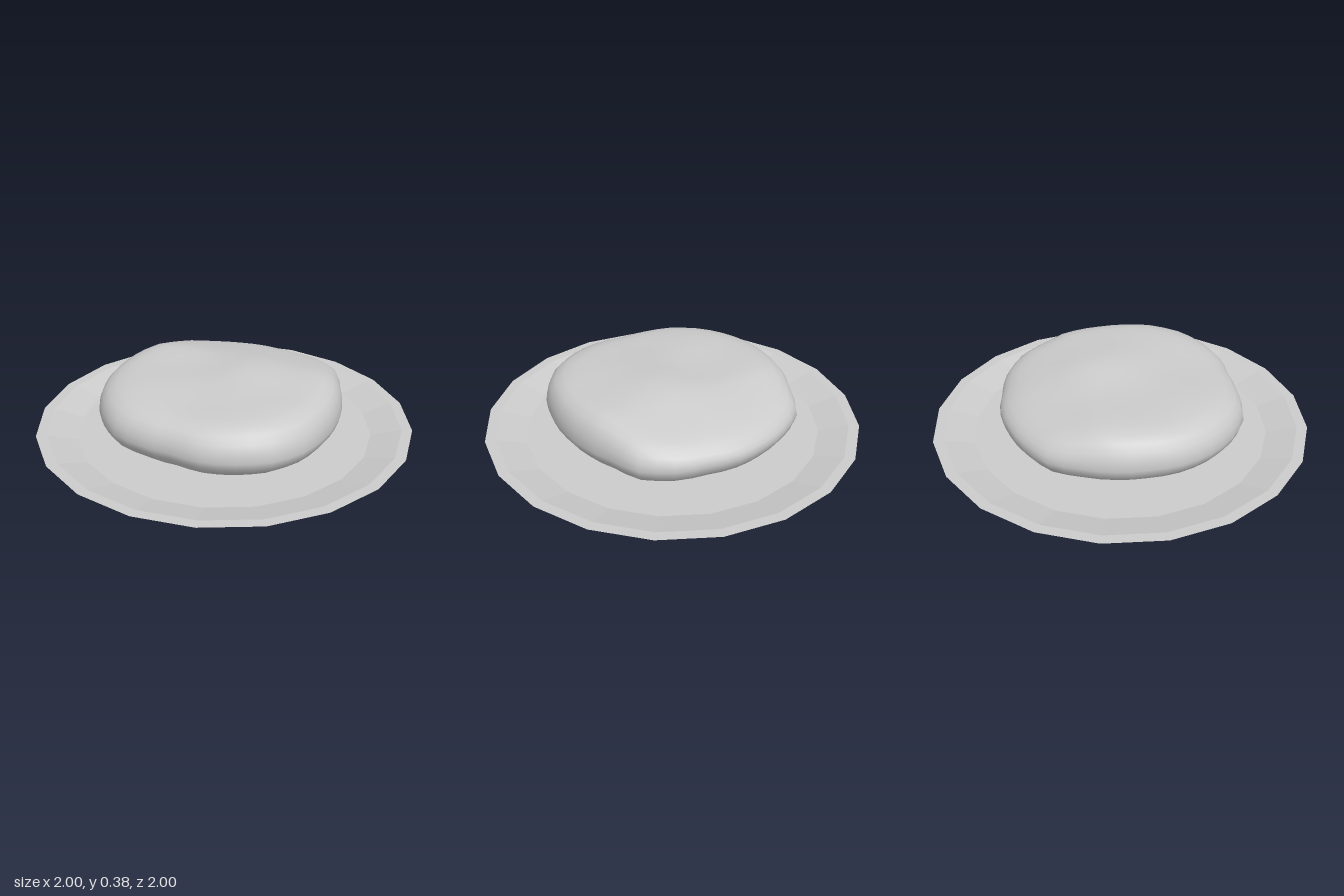
import * as THREE from 'three';
import { mergeVertices } from 'three/addons/utils/BufferGeometryUtils.js';

const points = (list) => list.map(([r, y]) => new THREE.Vector2(r, y));

// Outline radius of the bun every 15 degrees, from +x towards +z
const OUTLINE = [
  0.63, 0.645, 0.67, 0.68, 0.665, 0.65, 0.62, 0.635, 0.665, 0.665, 0.66, 0.65,
  0.635, 0.635, 0.64, 0.665, 0.65, 0.64, 0.64, 0.635, 0.66, 0.672, 0.63, 0.625,
];

function outlineRadius(angle) {
  const n = OUTLINE.length;
  const a = ((angle / (2 * Math.PI)) * n + 2 * n) % n;
  const i = Math.floor(a);
  return THREE.MathUtils.lerp(OUTLINE[i % n], OUTLINE[(i + 1) % n], a - i);
}

// Height of the lumpy top: off-centre peak, falling away to the back
function topHeight(x, z) {
  const peak = 0.023 * Math.exp(-((x - 0.11) ** 2 + (z + 0.1) ** 2) / 0.04);
  const fall = 0.19 * Math.max(0, -z - 0.22) + 0.06 * Math.max(0, z - 0.2);
  const ripple = 0.005 * Math.sin(9 * x + 4 * z) * Math.cos(8 * z - 2 * x);
  return 0.354 + 0.015 * x + peak - fall + ripple;
}

function createBun(material) {
  const waist = 0.19;
  // Radius as a fraction of the outline; above the waist, y is a fraction of the top height
  const lower = [[0, 0.03], [0.4, 0.03], [0.7, 0.035], [0.8, 0.05], [0.87, 0.08], [0.94, 0.115], [0.985, 0.155], [1, waist]];
  const upper = [[0.99, 0.3], [0.965, 0.56], [0.92, 0.78], [0.85, 0.92], [0.76, 0.98], [0.64, 1], [0.5, 1], [0.37, 1], [0.24, 1], [0.12, 1], [0, 1]];
  const profile = points([...lower, ...upper.map(([r, s]) => [r, waist + s])]);
  let geometry = new THREE.LatheGeometry(profile, 48);
  const p = geometry.attributes.position;
  for (let i = 0; i < p.count; i++) {
    const radius = outlineRadius(Math.atan2(p.getZ(i), p.getX(i)));
    const x = p.getX(i) * radius;
    const z = p.getZ(i) * radius;
    let y = p.getY(i);
    if (y > waist) y = waist + (y - waist) * (topHeight(x, z) - waist);
    p.setXYZ(i, x, y, z);
  }
  geometry.deleteAttribute('uv');
  geometry.deleteAttribute('normal');
  geometry = mergeVertices(geometry, 1e-4);
  geometry.computeVertexNormals();
  const bun = new THREE.Mesh(geometry, material);
  bun.name = 'bun';
  return bun;
}

export function createModel() {
  const group = new THREE.Group();
  group.name = 'bunOnPlate';

  // Shallow twenty-sided plate with a flat rim
  const plate = new THREE.Mesh(
    new THREE.LatheGeometry(
      points([[0, 0], [0.71, 0], [1, 0.07], [0.945, 0.07], [0.785, 0.03], [0, 0.03]]), 20),
    new THREE.MeshStandardMaterial({ color: 0xcccccc, flatShading: true }));
  plate.name = 'plate';

  group.add(plate, createBun(new THREE.MeshStandardMaterial({ color: 0xcccccc })));
  return group;
}
